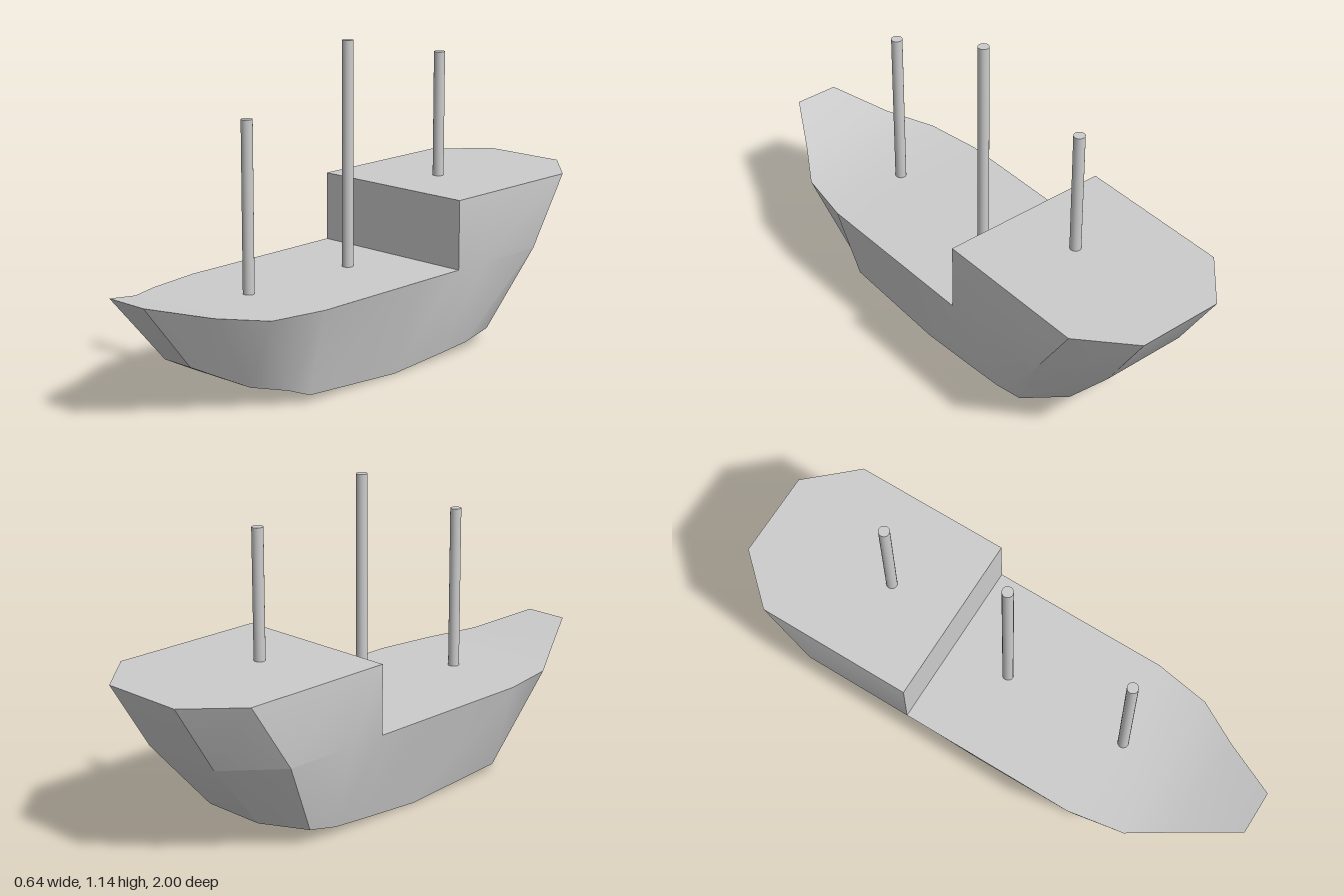
import * as THREE from 'three';
import { toCreasedNormals } from 'three/addons/utils/BufferGeometryUtils.js';

const material = new THREE.MeshStandardMaterial({ color: 0xcccccc });

// Hull stations from bow to stern: keel edge and deck edge, each [half width, y, z]
const keel = [
  [0.062, 0.172, 0.79], [0.14, 0.075, 0.6], [0.21, 0.053, 0.49], [0.238, 0.027, 0.42],
  [0.238, 0, 0], [0.238, 0.016, -0.24], [0.238, 0.027, -0.38], [0.238, 0.053, -0.5], [0.12, 0.08, -0.625],
];
const deck = [
  [0.082, 0.42, 1], [0.19, 0.366, 0.8], [0.285, 0.342, 0.64], [0.32, 0.34, 0.43],
  [0.32, 0.34, 0], [0.32, 0.34, -0.24], [0.32, 0.34, -0.38], [0.32, 0.34, -0.66], [0.16, 0.34, -0.845],
];
// Raised stern deck, matching the stations from STEP onward
const STEP = 5;
const upper = [[0.32, 0.59, -0.24], [0.32, 0.59, -0.38], [0.32, 0.59, -0.825], [0.16, 0.59, -1]];

const mirror = ([x, y, z]) => [-x, y, z];

function buildHull() {
  const positions = [];
  const quad = (a, b, c, d) => positions.push(...a, ...b, ...c, ...a, ...c, ...d);

  // Both sides between a lower and an upper rail
  const sides = (low, high) => {
    for (let i = 0; i < low.length - 1; i++) {
      quad(low[i], low[i + 1], high[i + 1], high[i]);
      quad(...[high[i], high[i + 1], low[i + 1], low[i]].map(mirror));
    }
  };
  // Surface across the ship from rail to mirrored rail
  const across = (rail, facingUp) => {
    for (let i = 0; i < rail.length - 1; i++) {
      const f = rail[i], a = rail[i + 1];
      if (facingUp) quad(mirror(f), f, a, mirror(a));
      else quad(mirror(a), a, f, mirror(f));
    }
  };
  // Wall across the ship, facing the bow or the stern
  const wall = (low, high, facingBow) => {
    if (facingBow) quad(mirror(low), low, high, mirror(high));
    else quad(low, mirror(low), mirror(high), high);
  };

  const aft = deck.slice(STEP);
  sides(keel, deck);
  sides(aft, upper);
  across(keel, false);
  across(deck.slice(0, STEP + 1), true);
  across(upper, true);
  wall(keel[0], deck[0], true);
  wall(aft[0], upper[0], true);
  wall(keel.at(-1), deck.at(-1), false);
  wall(aft.at(-1), upper.at(-1), false);

  const geometry = new THREE.BufferGeometry();
  geometry.setAttribute('position', new THREE.Float32BufferAttribute(positions, 3));
  const mesh = new THREE.Mesh(toCreasedNormals(geometry, 0.7), material);
  mesh.name = 'hull';
  return mesh;
}

function buildMast(name, z, base, top) {
  const height = top - base + 0.01;
  const mast = new THREE.Mesh(new THREE.CylinderGeometry(0.02, 0.02, height, 20), material);
  mast.position.set(0, top - height / 2, z);
  mast.name = name;
  return mast;
}

export function createModel() {
  const ship = new THREE.Group();
  ship.name = 'sailingShip';
  ship.add(
    buildHull(),
    buildMast('foreMast', 0.468, 0.34, 0.935),
    buildMast('mainMast', -0.014, 0.34, 1.143),
    buildMast('rearMast', -0.496, 0.59, 1.047),
  );
  return ship;
}
